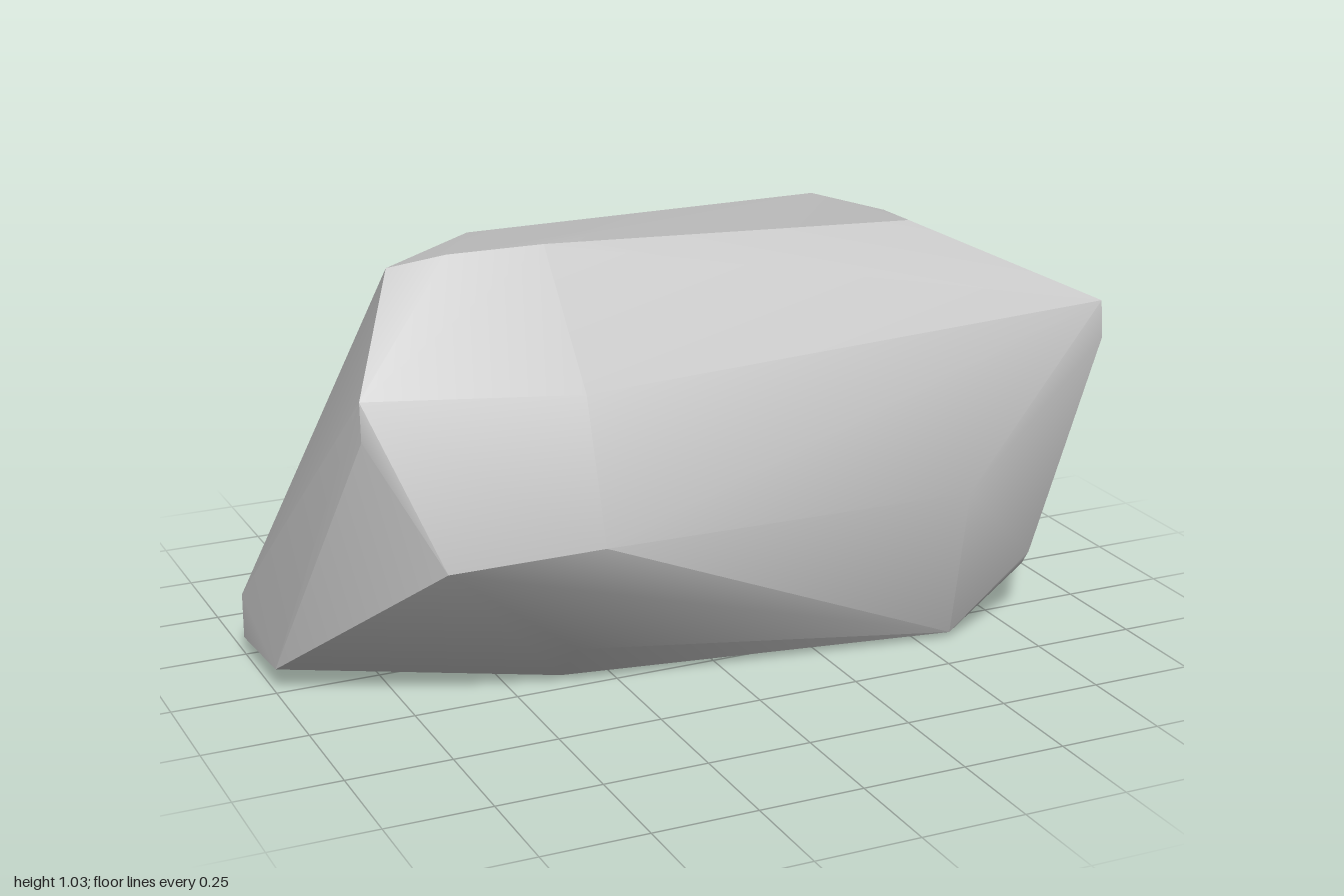
import * as THREE from 'three';
import { ConvexGeometry } from 'three/addons/geometries/ConvexGeometry.js';
import { toCreasedNormals } from 'three/addons/utils/BufferGeometryUtils.js';

// Corners of the boulder, grouped by cross-section along x: x, then [y, z] pairs
const sections = [
  // pointed low left end
  [-1.0, [0.15, -0.26], [0.04, -0.26], [0.07, -0.03], [0.06, 0.0]],
  // left front corner
  [-0.88, [0.79, 0.33], [0.70, 0.335]],
  [-0.73, [1.01, 0.09], [0.41, 0.445]],
  [-0.6, [1.035, 0.125]],
  // thickest section, undercut at the lower front
  [-0.37, [1.035, 0.13], [0.75, 0.37], [0.425, 0.478], [0.115, 0.30], [0.01, 0.20], [0.01, -0.33], [0.945, -0.365]],
  [-0.4, [0.88, -0.425], [0.67, -0.46], [0.375, -0.478], [0.08, -0.445]],
  // right shoulder
  [0.58, [0.985, 0.11], [0.40, 0.44], [0.015, 0.365], [0.0, 0.30], [0.0, -0.33], [0.94, -0.393]],
  // right end with its rounded lower corner
  [0.78, [0.88, -0.37]],
  [0.81, [0.82, -0.41], [0.07, -0.425], [0.065, 0.15], [0.08, 0.22], [0.105, 0.27], [0.14, 0.315], [0.18, 0.343]],
  // right front tip
  [1.0, [0.79, 0.32], [0.70, 0.33]],
];

export function createModel() {
  const group = new THREE.Group();
  group.name = 'rock';
  const stone = new THREE.MeshStandardMaterial({ color: 0xc3c3c3 });
  stone.name = 'grey stone';

  const points = sections.flatMap(([x, ...ring]) => ring.map(([y, z]) => new THREE.Vector3(x, y, z)));
  const boulder = new THREE.Mesh(toCreasedNormals(new ConvexGeometry(points), 0.52), stone);
  boulder.name = 'boulder';
  group.add(boulder);
  return group;
}
